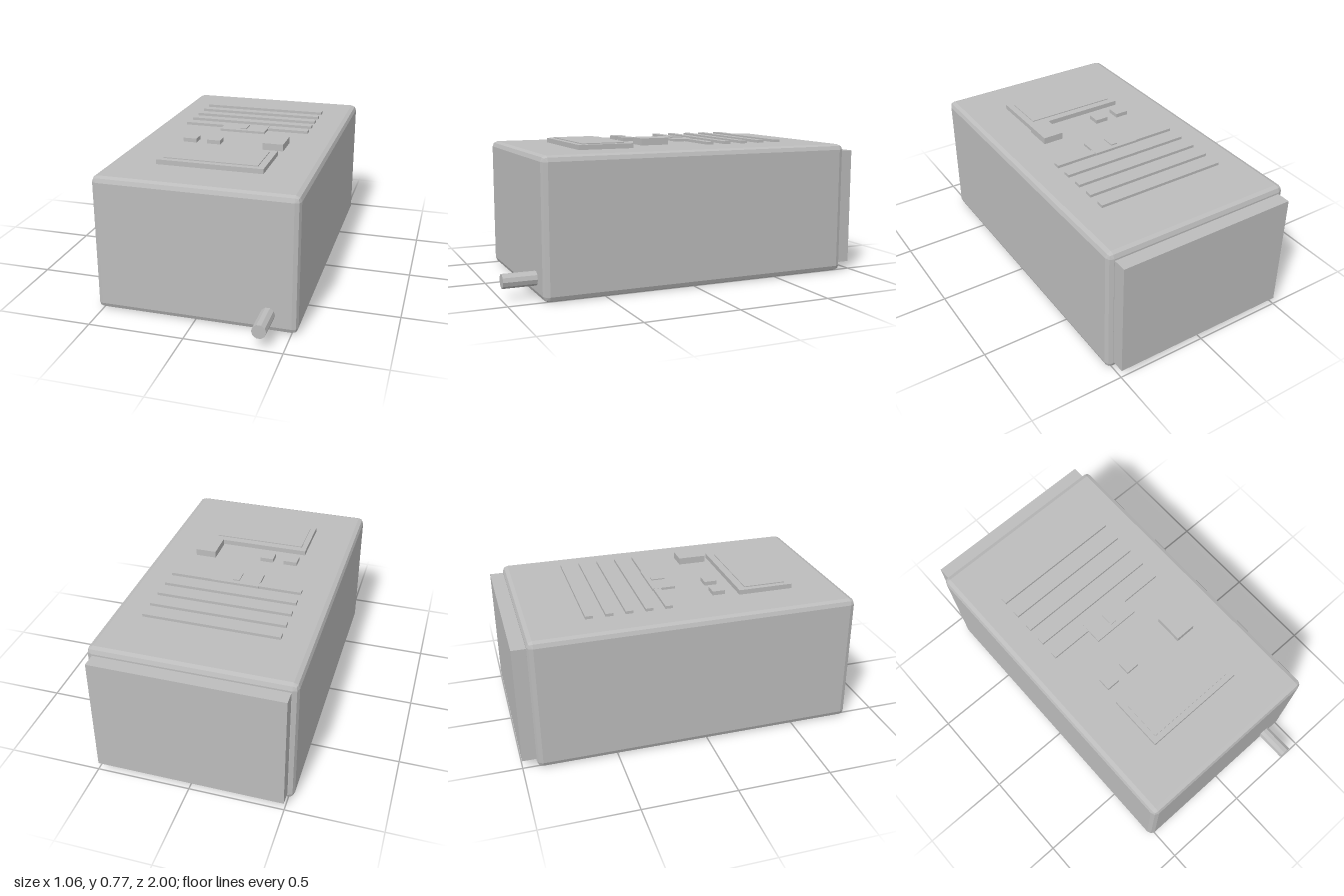
import * as THREE from 'three';
import { ConvexGeometry } from 'three/addons/geometries/ConvexGeometry.js';

export function createModel() {
  const group = new THREE.Group();
  const grey = new THREE.MeshStandardMaterial({ color: 0xbcbcbc, flatShading: true });
  grey.name = 'grey';

  function add(name, geometry) {
    const mesh = new THREE.Mesh(geometry, grey);
    mesh.name = name;
    group.add(mesh);
    return mesh;
  }

  // Box given by its limits on each axis
  function box(name, x0, x1, y0, y1, z0, z1) {
    const mesh = add(name, new THREE.BoxGeometry(x1 - x0, y1 - y0, z1 - z0));
    mesh.position.set((x0 + x1) / 2, (y0 + y1) / 2, (z0 + z1) / 2);
    return mesh;
  }

  // Case: a box whose edges are rounded in two facets
  function bevelledBox(w, h, d, r) {
    const points = [];
    for (const sx of [-1, 1]) for (const sy of [-1, 1]) for (const sz of [-1, 1]) {
      for (let mask = 1; mask < 8; mask++) {
        const dir = new THREE.Vector3(mask & 1, (mask >> 1) & 1, (mask >> 2) & 1).normalize();
        points.push(new THREE.Vector3(
          sx * (w / 2 - r + r * dir.x),
          sy * (h / 2 - r + r * dir.y),
          sz * (d / 2 - r + r * dir.z)));
      }
    }
    return new ConvexGeometry(points);
  }
  add('case', bevelledBox(1.06, 0.724, 1.75, 0.03)).position.set(0, 0.362, -0.05);

  // Plate on the back
  box('backPlate', -0.497, 0.497, 0.042, 0.685, -1, -0.915);

  // Pipe on the front
  const pipe = add('frontPipe', new THREE.CylinderGeometry(0.0375, 0.0375, 0.2, 10, 1, false, Math.PI / 2));
  pipe.rotation.x = Math.PI / 2;
  pipe.position.set(0.38, 0.098, 0.9);

  // Row of slats
  for (let i = 0; i < 5; i++) {
    const z = -0.165 - i * 0.1055;
    box('slat', -0.363, 0.361, 0.735, 0.75, z - 0.02, z + 0.02);
  }

  // Latch with its small catch
  box('latch', -0.131, 0.129, 0.738, 0.751, -0.19, -0.064);
  box('latchCatch', -0.019, 0.017, 0.745, 0.757, -0.165, -0.09);

  // Screen in a raised frame
  box('screenFrame', -0.285, 0.283, 0.72, 0.75, 0.252, 0.556);
  box('screen', -0.255, 0.247, 0.748, 0.755, 0.292, 0.525);

  // Buttons
  box('buttonRight', -0.27, -0.195, 0.733, 0.755, 0.105, 0.175);
  box('buttonLeft', -0.134, -0.06, 0.733, 0.755, 0.105, 0.175);
  box('largeButton', 0.19, 0.303, 0.738, 0.775, 0.06, 0.215);

  return group;
}
